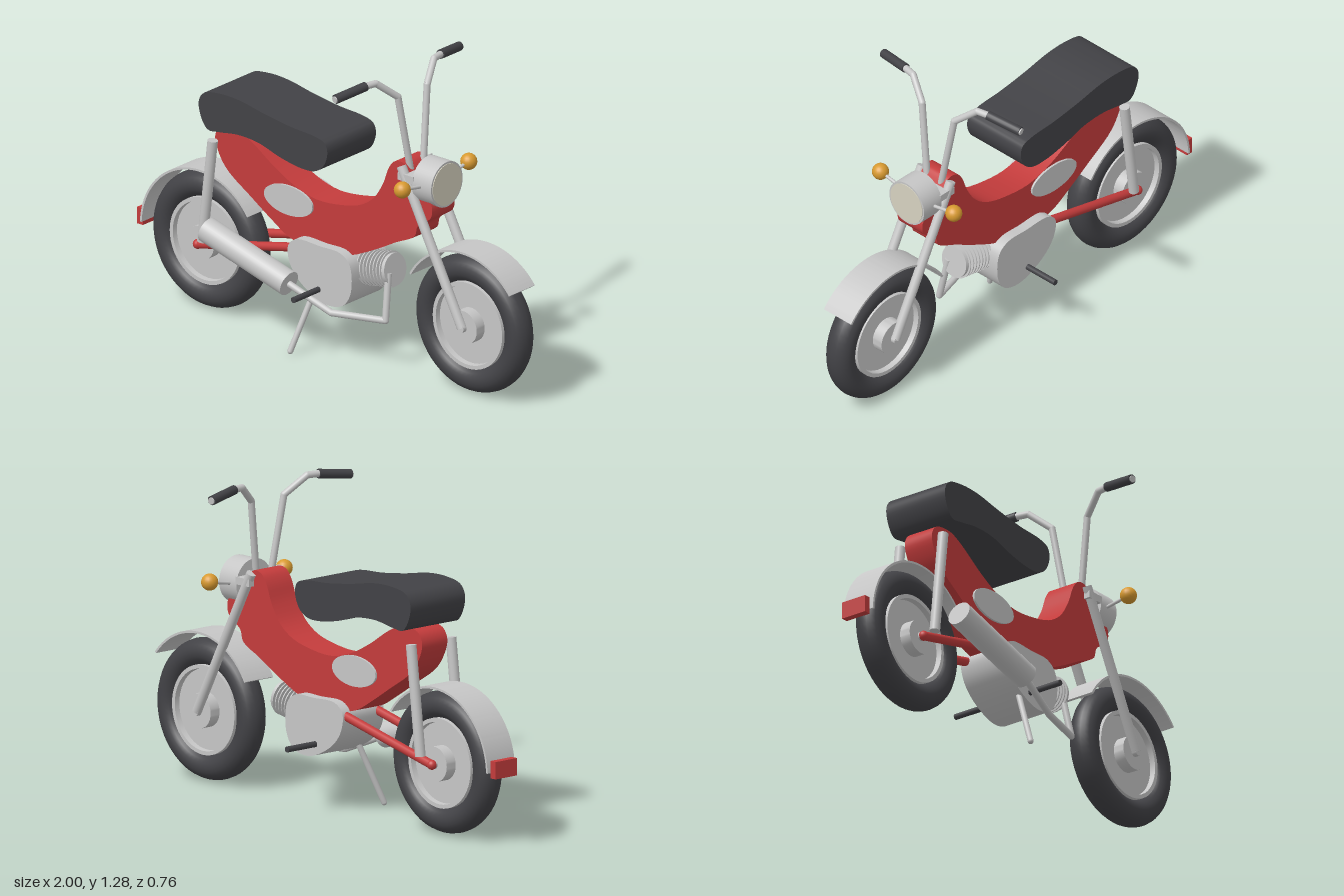
import * as THREE from 'three';
import { toCreasedNormals } from 'three/addons/utils/BufferGeometryUtils.js';

const mat = (name, color) => {
  const m = new THREE.MeshStandardMaterial({ color });
  m.name = name;
  return m;
};
const V = (x, y, z) => new THREE.Vector3(x, y, z);

export function createModel() {
  const red = mat('red paint', 0xc43c3c);
  const dark = mat('dark rubber', 0x424246);
  const silver = mat('silver metal', 0xc6c6c6);
  const amber = mat('amber glass', 0xd89a30);
  const cream = mat('cream lens', 0xd6d2c0);

  const model = new THREE.Group();
  model.name = 'motorbike';

  const add = (name, geo, material, x = 0, y = 0, z = 0) => {
    const mesh = new THREE.Mesh(geo, material);
    mesh.name = name;
    mesh.position.set(x, y, z);
    model.add(mesh);
    return mesh;
  };
  // Straight rod between two points
  const rod = (name, a, b, r, material, sides = 16) => {
    const d = b.clone().sub(a);
    const mesh = add(name, new THREE.CylinderGeometry(r, r, d.length(), sides), material);
    mesh.position.copy(a).addScaledVector(d, 0.5);
    mesh.quaternion.setFromUnitVectors(V(0, 1, 0), d.normalize());
    return mesh;
  };
  const ball = (name, p, r, material) =>
    add(name, new THREE.SphereGeometry(r, 20, 14), material, p.x, p.y, p.z);
  // Bent pipe: rods with rounded joints
  const pipe = (name, pts, r, material) => pts.forEach((p, i) => {
    if (i) rod(name, pts[i - 1], p, r, material);
    if (i && i < pts.length - 1) ball(name + 'Joint', p, r, material);
  });
  // Side outline extruded evenly about z = 0
  const slab = (shape, width) => {
    const g = new THREE.ExtrudeGeometry(shape, { depth: width, bevelEnabled: false, curveSegments: 40 });
    g.translate(0, 0, -width / 2);
    return toCreasedNormals(g, 0.5);
  };
  const smoothOutline = (pts, n) => new THREE.Shape(
    new THREE.CatmullRomCurve3(pts.map(([x, y]) => V(x, y, 0)), true, 'centripetal')
      .getPoints(n).slice(0, -1).map(p => new THREE.Vector2(p.x, p.y)));

  // Wheels with dished rims and hubs
  const half = [[0, 0.07], [0.07, 0.07], [0.07, 0.022], [0.163, 0.022], [0.165, 0.045], [0.181, 0.045]];
  const rimProfile = [
    ...half.map(([r, y]) => new THREE.Vector2(r, -y)),
    ...half.slice().reverse().map(([r, y]) => new THREE.Vector2(r, y))];
  const rimGeo = toCreasedNormals(new THREE.LatheGeometry(rimProfile, 48).rotateX(Math.PI / 2), 0.5);
  const tyreGeo = new THREE.TorusGeometry(0.23, 0.055, 20, 56).scale(1, 1, 1.08);
  // Fender arcs: start and end angles in degrees
  const wheels = [['rear', -0.66, 35, 178, 0.311], ['front', 0.71, 39, 150, 0.32]];
  for (const [end, x, a0, a1, R] of wheels) {
    add(end + 'Tyre', tyreGeo, dark, x, 0.29);
    add(end + 'Rim', rimGeo, silver, x, 0.29);
    const s = new THREE.Shape();
    const [t0, t1] = [a0, a1].map(THREE.MathUtils.degToRad);
    s.absarc(0, 0, R, t0, t1, false);
    s.absarc(0, 0, R - 0.009, t1, t0, true);
    add(end + 'Fender', slab(s, 0.148), silver, x, 0.29);
    rod(end + 'Axle', V(x, 0.29, -0.09), V(x, 0.29, 0.09), 0.018, silver);
  }
  add('tailLight', new THREE.BoxGeometry(0.03, 0.07, 0.115), red, -0.985, 0.315);

  // Body shell
  add('body', slab(smoothOutline([
    [-0.585, 0.76], [-0.56, 0.805], [-0.47, 0.818], [-0.39, 0.785], [-0.28, 0.715], [-0.17, 0.66],
    [-0.06, 0.632], [0.06, 0.64], [0.17, 0.668], [0.24, 0.715], [0.29, 0.79], [0.32, 0.865],
    [0.35, 0.9], [0.395, 0.905], [0.43, 0.865], [0.49, 0.80], [0.54, 0.768], [0.54, 0.71],
    [0.47, 0.655], [0.455, 0.61], [0.36, 0.56], [0.24, 0.495], [0.1, 0.435], [-0.08, 0.415],
    [-0.2, 0.435], [-0.29, 0.485], [-0.4, 0.555], [-0.52, 0.635], [-0.565, 0.695]], 110), 0.135), red);

  // Oval side plates
  const oval = new THREE.Shape();
  oval.absellipse(0, 0, 0.126, 0.062, 0, Math.PI * 2);
  for (const s of [-1, 1]) add('sidePlate', slab(oval, 0.009), silver, -0.197, 0.593, s * 0.072);

  // Seat
  add('seat', slab(smoothOutline([
    [-0.602, 0.93], [-0.575, 0.972], [-0.49, 0.99], [-0.39, 0.988], [-0.26, 0.965], [-0.12, 0.946],
    [0.01, 0.937], [0.056, 0.92], [0.068, 0.88], [0.045, 0.82], [0, 0.79], [-0.07, 0.785],
    [-0.18, 0.803], [-0.29, 0.834], [-0.4, 0.84], [-0.5, 0.825], [-0.555, 0.822], [-0.588, 0.862]], 90), 0.293), dark);

  // Engine case and finned cylinder
  add('engineCase', slab(smoothOutline([
    [-0.168, 0.42], [-0.125, 0.458], [0, 0.46], [0.105, 0.457], [0.152, 0.42], [0.16, 0.31],
    [0.125, 0.245], [0.07, 0.222], [0, 0.227], [-0.11, 0.285], [-0.16, 0.35]], 60), 0.22), silver);
  const c0 = V(0.1, 0.373, 0), axis = V(0.985, 0.17, 0).normalize();
  const along = t => c0.clone().addScaledVector(axis, t);
  rod('cylinderBarrel', c0, along(0.185), 0.056, silver, 28);
  for (let i = 0; i < 8; i++) {
    const t = 0.055 + i * 0.0175;
    rod('coolingFin', along(t), along(t + 0.005), 0.074, silver, 28);
  }
  rod('cylinderHead', along(0.178), along(0.198), 0.066, silver, 28);

  // Exhaust, foot pegs and stand
  rod('muffler', V(-0.54, 0.408, 0.168), V(-0.113, 0.29, 0.168), 0.052, silver, 32);
  pipe('exhaustPipe', [V(-0.13, 0.294, 0.168), V(0.08, 0.207, 0.135), V(0.305, 0.213, 0.07),
    V(0.29, 0.4, 0.035)], 0.014, silver);
  rod('footPegs', V(-0.01, 0.275, -0.262), V(-0.01, 0.275, 0.262), 0.012, dark);
  rod('kickStand', V(-0.045, 0.28, 0.075), V(-0.096, 0.012, 0.18), 0.012, silver);
  ball('kickStandTip', V(-0.096, 0.012, 0.18), 0.012, silver);

  // Headlight facing +x
  const lamp = add('headlight', new THREE.CylinderGeometry(0.095, 0.095, 0.1, 40), silver, 0.514, 0.838);
  const lens = add('headlightLens', new THREE.CylinderGeometry(0.087, 0.087, 0.008, 40), cream, 0.563, 0.838);
  lamp.rotation.z = lens.rotation.z = -Math.PI / 2;
  add('forkClamp', new THREE.BoxGeometry(0.08, 0.03, 0.19), silver, 0.43, 0.857);

  // Mirrored parts
  for (const s of [-1, 1]) {
    rod('swingArm', V(-0.66, 0.29, s * 0.085), V(-0.1, 0.422, s * 0.085), 0.018, red);
    ball('swingArmEnd', V(-0.66, 0.29, s * 0.085), 0.02, red);
    rod('rearShock', V(-0.617, 0.32, s * 0.107), V(-0.563, 0.762, s * 0.107), 0.021, silver);
    rod('frontFork', V(0.71, 0.29, s * 0.078), V(0.395, 0.895, s * 0.078), 0.02, silver);
    rod('indicatorStem', V(0.505, 0.838, s * 0.08), V(0.505, 0.86, s * 0.2), 0.007, silver);
    ball('indicator', V(0.505, 0.86, s * 0.2), 0.034, amber);
    pipe('handlebar', [V(0.41, 0.85, s * 0.035), V(0.385, 1.19, s * 0.088), V(0.345, 1.262, s * 0.175),
      V(0.335, 1.262, s * 0.225), V(0.305, 1.243, s * 0.378)], 0.014, silver);
    rod('grip', V(0.335, 1.262, s * 0.225), V(0.306, 1.244, s * 0.373), 0.019, dark);
  }
  return model;
}
